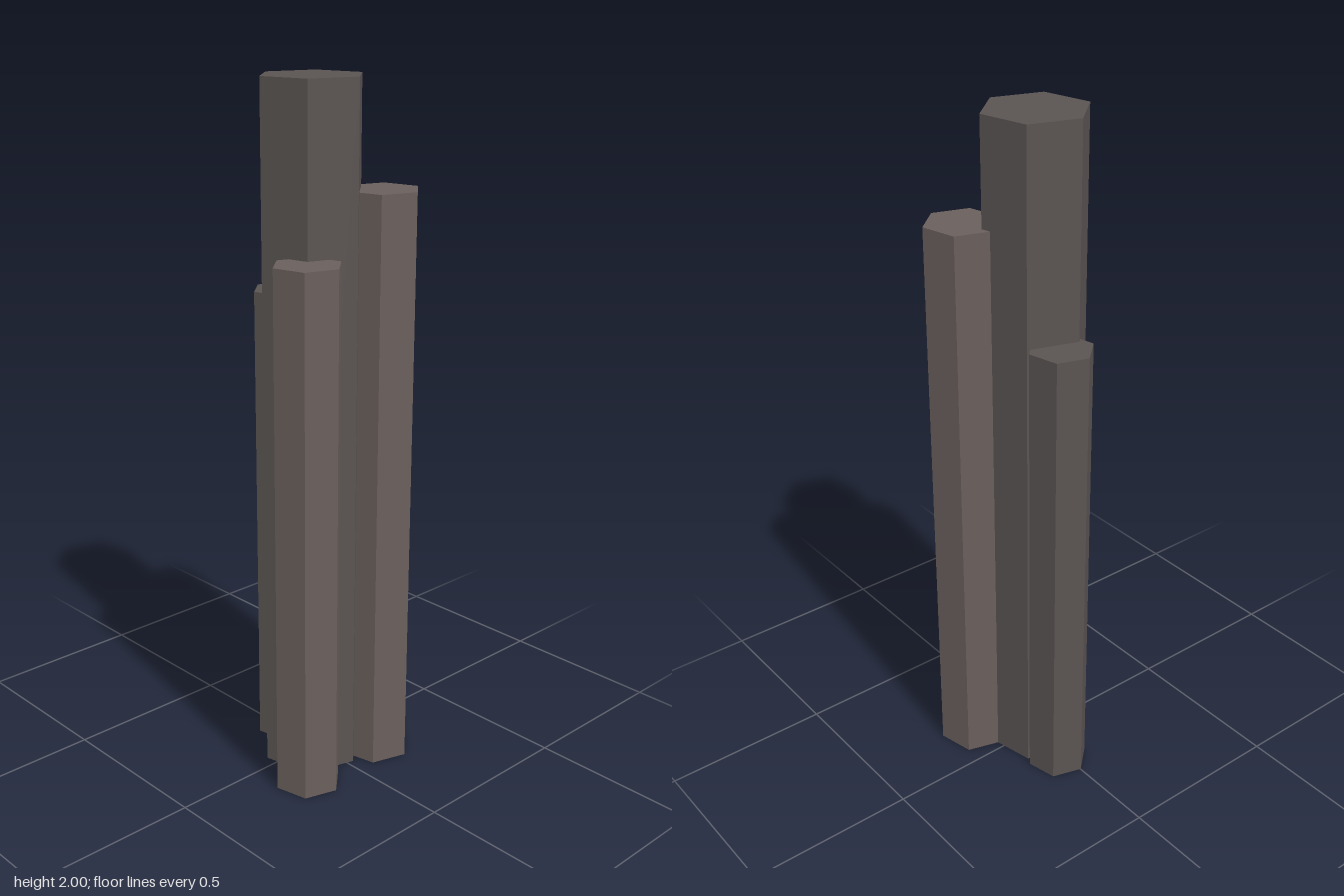
import * as THREE from 'three';
import { mergeGeometries } from 'three/addons/utils/BufferGeometryUtils.js';

const TWIST = 0.222; // shared rotation of all the hexagonal columns

// Hexagonal column: side walls and a top cap, open underneath
function column(name, x, z, radius, height, material) {
  const walls = new THREE.CylinderGeometry(radius, radius, height, 6, 1, true);
  walls.translate(0, height / 2, 0);
  const cap = new THREE.CircleGeometry(radius, 6, -Math.PI / 2);
  cap.rotateX(-Math.PI / 2).translate(0, height, 0);
  const mesh = new THREE.Mesh(mergeGeometries([walls, cap]), material);
  mesh.name = name;
  mesh.position.set(x, 0, z);
  mesh.rotation.y = TWIST;
  return mesh;
}

function stone(color) {
  return new THREE.MeshStandardMaterial({ color, flatShading: true, side: THREE.DoubleSide });
}

export function createModel() {
  const group = new THREE.Group();
  group.name = 'basaltColumns';
  const dark = stone(0x5a5452);
  const warm = stone(0x6a5f5c);
  group.add(
    // Tall central column
    column('mainColumn', -0.013, 0.007, 0.149, 2, dark),
    // Shorter columns clustered around it
    column('leftColumn', 0.137, 0.126, 0.108, 1.7, warm),
    column('rightColumn', -0.147, 0.134, 0.0985, 1.535, warm),
    column('backColumn', 0.019, -0.143, 0.0918, 1.4, dark),
  );
  return group;
}
